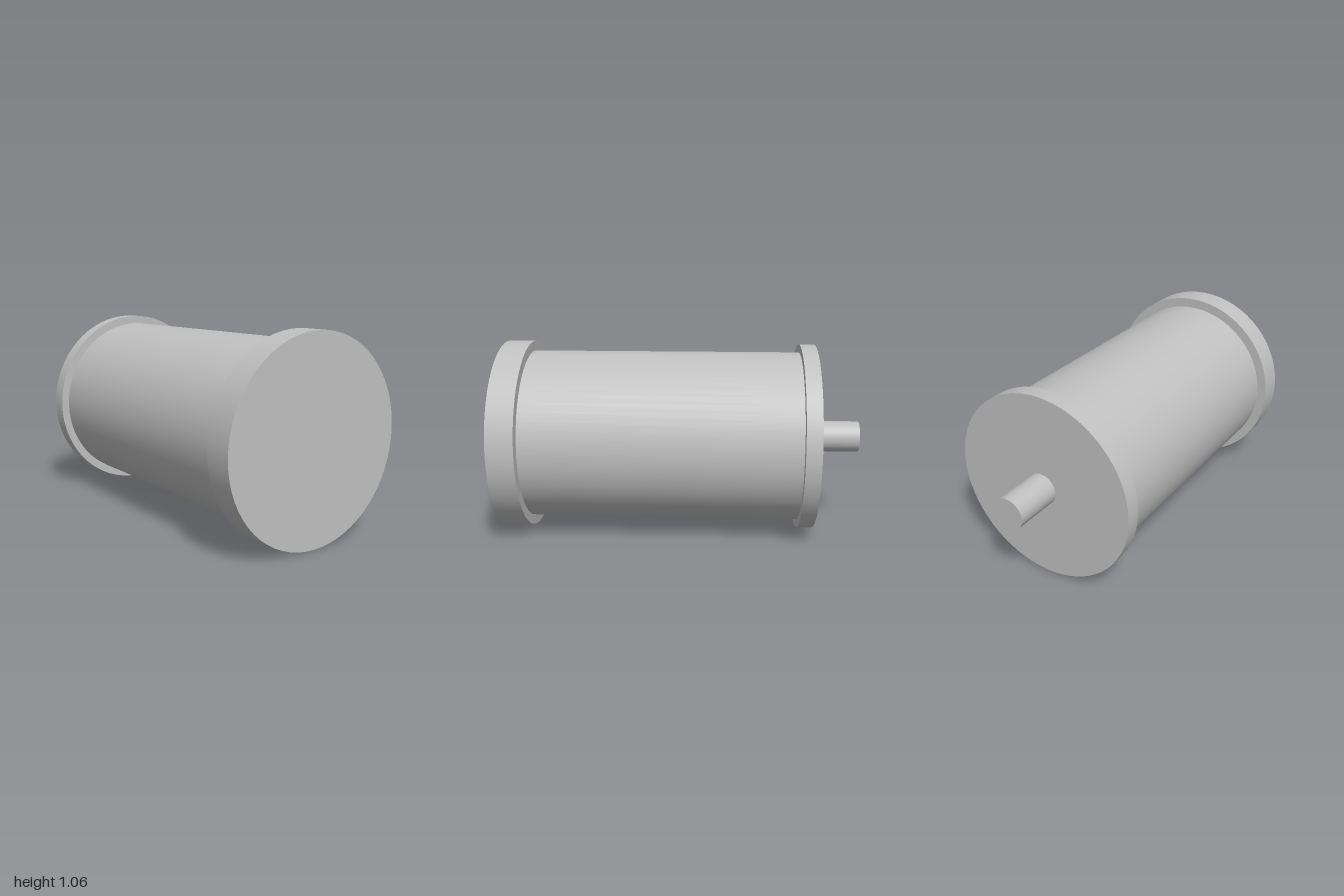
import * as THREE from 'three';

export function createModel() {
  const group = new THREE.Group();
  const metal = new THREE.MeshStandardMaterial({ color: 0xc0c0c0 });
  metal.name = 'greyMetal';
  const axisY = 0.532;

  // Solid round section along z, between zFront and zBack
  function section(name, radius, zFront, zBack, sides = 64) {
    const geometry = new THREE.CylinderGeometry(radius, radius, zFront - zBack, sides);
    geometry.rotateX(Math.PI / 2);
    const mesh = new THREE.Mesh(geometry, metal);
    mesh.name = name;
    mesh.position.set(0, axisY, (zFront + zBack) / 2);
    group.add(mesh);
  }

  section('frontCap', 0.532, 1, 0.85);
  section('body', 0.477, 0.85, -0.652);
  section('rearFlange', 0.522, -0.652, -0.737);
  section('shaft', 0.087, -0.737, -1, 48);

  return group;
}
